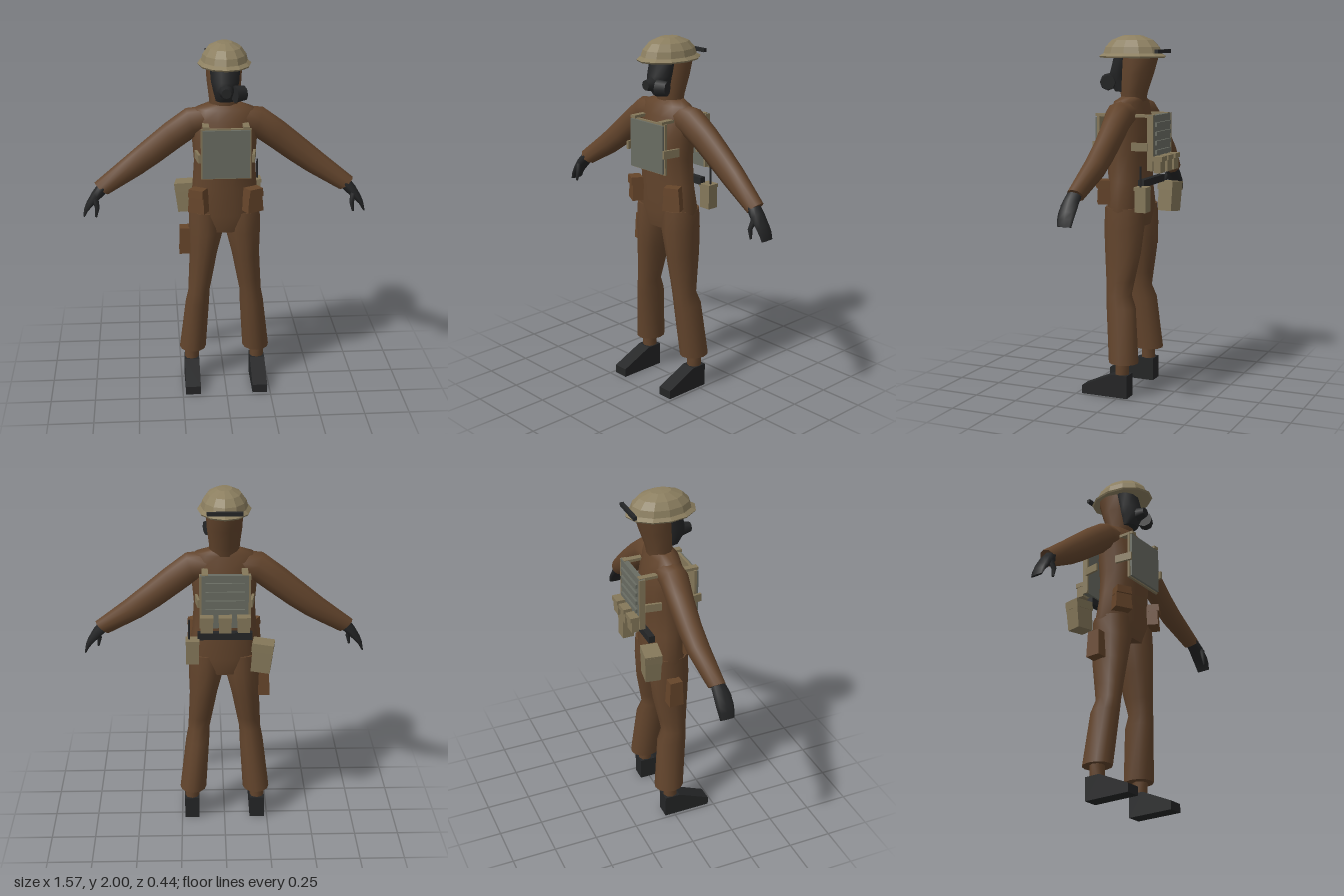
import * as THREE from 'three';

const mat = (name, color) => {
  const m = new THREE.MeshStandardMaterial({ color });
  m.name = name;
  return m;
};

// Smooth capped loft. Ring: [x, y, z, direction in degrees within the xy plane, in-plane radius, z radius]
function loft(rings, sides = 12) {
  const pos = [], idx = [];
  const addRing = ([x, y, z, deg, ra, rb]) => {
    const t = THREE.MathUtils.degToRad(deg), start = pos.length / 3;
    for (let k = 0; k < sides; k++) {
      const a = (k / sides) * Math.PI * 2, c = Math.cos(a) * ra;
      pos.push(x + Math.sin(t) * c, y - Math.cos(t) * c, z + Math.sin(a) * rb);
    }
    return start;
  };
  const starts = rings.map(addRing);
  for (let i = 0; i < starts.length - 1; i++) {
    for (let k = 0; k < sides; k++) {
      const n = (k + 1) % sides, a = starts[i], b = starts[i + 1];
      idx.push(a + k, b + k, a + n, b + k, b + n, a + n);
    }
  }
  for (const [ring, top] of [[rings[0], false], [rings[rings.length - 1], true]]) {
    const s = addRing(ring), c = pos.length / 3;
    pos.push(ring[0], ring[1], ring[2]);
    for (let k = 0; k < sides; k++) {
      const n = (k + 1) % sides;
      idx.push(c, s + (top ? n : k), s + (top ? k : n));
    }
  }
  const g = new THREE.BufferGeometry();
  g.setAttribute('position', new THREE.Float32BufferAttribute(pos, 3));
  g.setIndex(idx);
  g.computeVertexNormals();
  return g;
}

// Upright loft. Ring: [y, half width, z centre, half depth, x centre]
const upright = (rings, sides) => loft(rings.map(([y, w, z, d, x = 0]) => [x, y, z, 90, w, d]), sides);

// Box whose top is scaled by a factor
function taperBox(w, h, d, top = 1) {
  const g = new THREE.BoxGeometry(w, h, d), p = g.attributes.position;
  for (let i = 0; i < p.count; i++) {
    if (p.getY(i) > 0) p.setXYZ(i, p.getX(i) * top, p.getY(i), p.getZ(i) * top);
  }
  g.computeVertexNormals();
  return g;
}

// Copy reflected in x, with its winding restored
function mirrored(geo) {
  const g = (geo.index ? geo.toNonIndexed() : geo.clone()).scale(-1, 1, 1);
  for (const a of Object.values(g.attributes)) {
    const n = a.itemSize, arr = a.array;
    for (let i = 0; i < arr.length; i += 3 * n) {
      for (let j = 0; j < n; j++) {
        const t = arr[i + n + j];
        arr[i + n + j] = arr[i + 2 * n + j];
        arr[i + 2 * n + j] = t;
      }
    }
  }
  const nor = g.attributes.normal;
  for (let i = 0; i < nor.count; i++) nor.setX(i, -Math.abs(nor.getX(i)) * Math.sign(-nor.getX(i) || 1));
  return g;
}

export function createModel() {
  const root = new THREE.Group();
  root.name = 'protectedSoldier';
  const suit = mat('suitBrown', 0x62442c);
  const leather = mat('pouchBrown', 0x66452a);
  const tan = mat('canvasTan', 0x85785a);
  const helmetTan = mat('helmetTan', 0x8c7f60);
  const grey = mat('plateGrey', 0x696c62);
  const dark = mat('rubberBlack', 0x242526);

  const add = (name, geo, m, x = 0, y = 0, z = 0, rx = 0, ry = 0, rz = 0) => {
    const mesh = new THREE.Mesh(geo, m);
    mesh.name = name;
    mesh.position.set(x, y, z);
    mesh.rotation.set(rx, ry, rz);
    root.add(mesh);
    return mesh;
  };
  const box = (name, w, h, d, m, x, y, z, rx, ry, rz) =>
    add(name, new THREE.BoxGeometry(w, h, d), m, x, y, z, rx, ry, rz);
  const pair = (name, geo, m) => {
    add(name + 'Left', geo, m);
    add(name + 'Right', mirrored(geo), m);
  };

  // Torso and hood
  add('torso', upright([
    [0.95, 0.17, 0.015, 0.1], [1.05, 0.203, 0.015, 0.12], [1.2, 0.178, 0.02, 0.11],
    [1.35, 0.168, 0.025, 0.122], [1.47, 0.178, 0.022, 0.125], [1.58, 0.18, 0.018, 0.095],
    [1.64, 0.165, 0.015, 0.078], [1.665, 0.09, 0.005, 0.06],
  ], 14), suit);
  add('hood', upright([
    [1.63, 0.08, 0.003, 0.066], [1.69, 0.083, 0, 0.075], [1.79, 0.095, -0.018, 0.092],
    [1.89, 0.1, -0.033, 0.107],
  ], 10), suit);

  // Legs, ankles and boots
  pair('leg', upright([
    [0.195, 0.076, -0.015, 0.085, 0.183], [0.5, 0.067, 0.012, 0.085, 0.155],
    [0.57, 0.061, 0.028, 0.073, 0.147], [0.65, 0.067, 0.023, 0.083, 0.137],
    [0.8, 0.078, 0.016, 0.105, 0.119], [0.94, 0.098, 0.015, 0.115, 0.103],
    [1.06, 0.098, 0.015, 0.11, 0.1],
  ]), suit);
  pair('ankle', upright([[0.1, 0.04, -0.01, 0.04, 0.19], [0.22, 0.042, -0.01, 0.042, 0.19]], 8), suit);
  const bootSide = new THREE.Shape([[-0.055, 0], [0.22, 0], [0.22, 0.048], [0.035, 0.13], [-0.055, 0.13]]
    .map(([z, y]) => new THREE.Vector2(z, y)));
  pair('boot', new THREE.ExtrudeGeometry(bootSide, { depth: 0.085, bevelEnabled: false })
    .rotateY(-Math.PI / 2).translate(0.233, 0, 0), dark);

  // Arms, hands and thumbs
  pair('arm', loft([
    [0.09, 1.575, 0.015, -5, 0.075, 0.075], [0.18, 1.56, 0.012, -20, 0.084, 0.078],
    [0.28, 1.487, 0.004, -35, 0.08, 0.07], [0.4, 1.393, 0.003, -37, 0.075, 0.063],
    [0.5, 1.318, 0.008, -39, 0.068, 0.06], [0.677, 1.198, 0.032, -48, 0.051, 0.045],
  ], 10), suit);
  pair('hand', loft([
    [0.665, 1.208, 0.038, -42, 0.035, 0.038], [0.705, 1.165, 0.045, -48, 0.03, 0.047],
    [0.745, 1.115, 0.047, -55, 0.02, 0.049], [0.764, 1.085, 0.047, -65, 0.013, 0.046],
    [0.777, 1.05, 0.047, -70, 0.006, 0.04],
  ], 8), dark);
  pair('thumb', loft([
    [0.712, 1.155, 0.08, -110, 0.017, 0.017], [0.702, 1.105, 0.096, -95, 0.013, 0.013],
    [0.711, 1.055, 0.098, -75, 0.006, 0.007],
  ], 6), dark);

  // Gas mask with side filter
  add('mask', upright([
    [1.69, 0.05, 0.065, 0.045], [1.75, 0.065, 0.08, 0.07], [1.8, 0.076, 0.075, 0.062],
    [1.89, 0.083, 0.05, 0.062],
  ], 10), dark);
  add('maskSnout', new THREE.CylinderGeometry(0.027, 0.042, 0.06, 8), dark, 0, 1.755, 0.15, Math.PI / 2);
  add('maskFilter', new THREE.CylinderGeometry(0.04, 0.047, 0.06, 8), dark, 0.073, 1.742, 0.125, 0, 0.4, -Math.PI / 2);

  // Faceted helmet, brim and rolled cover at the back
  const helmetMat = helmetTan.clone();
  helmetMat.flatShading = true;
  const profile = [[0.001, 1.895], [0.1, 1.89], [0.14, 1.876], [0.145, 1.885], [0.126, 1.9], [0.117, 1.935],
    [0.09, 1.972], [0.042, 1.997], [0.001, 2.0]].map(([r, y]) => new THREE.Vector2(r, y));
  add('helmet', new THREE.LatheGeometry(profile, 12).scale(1, 1, 1.35), helmetMat, 0, 0, 0.01);
  box('helmetRod', 0.19, 0.02, 0.02, dark, 0, 1.912, -0.17);

  // Chest plate and back panel with ribs
  box('chestPlateBacking', 0.272, 0.28, 0.014, tan, 0, 1.42, 0.156);
  box('chestPlate', 0.256, 0.266, 0.016, grey, 0, 1.42, 0.168);
  box('backPanel', 0.268, 0.3, 0.03, grey, 0, 1.42, -0.152);
  for (let i = 0; i < 4; i++) box('backRib', 0.21, 0.022, 0.014, grey, 0, 1.52 - i * 0.05, -0.172);
  for (const s of [-1, 1]) {
    box('backPanelEdge', 0.012, 0.3, 0.034, tan, s * 0.132, 1.42, -0.152);
    // Shoulder straps and side straps
    box('frontShoulderStrap', 0.034, 0.016, 0.1, tan, s * 0.108, 1.566, 0.127);
    box('backShoulderStrap', 0.034, 0.016, 0.11, tan, s * 0.108, 1.566, -0.108);
    box('frontSideStrap', 0.014, 0.045, 0.1, tan, s * 0.152, 1.4, 0.135, 0, -s * 0.15);
    box('backSideStrap', 0.014, 0.045, 0.09, tan, s * 0.148, 1.4, -0.095, 0, s * 0.15);
    // Front belt pouches with flaps
    add('beltPouch', taperBox(0.1, 0.13, 0.07, 0.82), leather, s * 0.148, 1.145, 0.118, 0, s * 0.5);
    add('beltPouchFlap', taperBox(0.09, 0.045, 0.068, 0.92), leather, s * 0.152, 1.19, 0.124, 0, s * 0.5);
  }

  // Three small pouches under the back panel
  for (const x of [-0.1, 0, 0.1]) {
    box('backPouch', 0.066, 0.08, 0.042, tan, x, 1.3, -0.192);
    box('backPouchFlap', 0.072, 0.026, 0.05, tan, x, 1.337, -0.196);
  }

  // Belt, canteen, radio and thigh holster
  box('backBelt', 0.3, 0.04, 0.035, dark, 0, 1.2, -0.105);
  add('canteen', taperBox(0.105, 0.16, 0.085, 1.08), tan, -0.205, 1.085, -0.133, 0, -0.15, 0.1);
  box('canteenFlap', 0.118, 0.05, 0.096, tan, -0.209, 1.15, -0.134, 0, -0.15, 0.1);
  box('radio', 0.07, 0.13, 0.065, tan, 0.178, 1.115, -0.125);
  box('radioLid', 0.076, 0.02, 0.071, tan, 0.178, 1.178, -0.125);
  add('radioAntenna', new THREE.CylinderGeometry(0.006, 0.006, 0.12, 6), dark, 0.195, 1.24, -0.122);
  add('thighHolster', taperBox(0.065, 0.15, 0.085, 0.85), leather, -0.222, 0.875, 0.0);
  return root;
}
